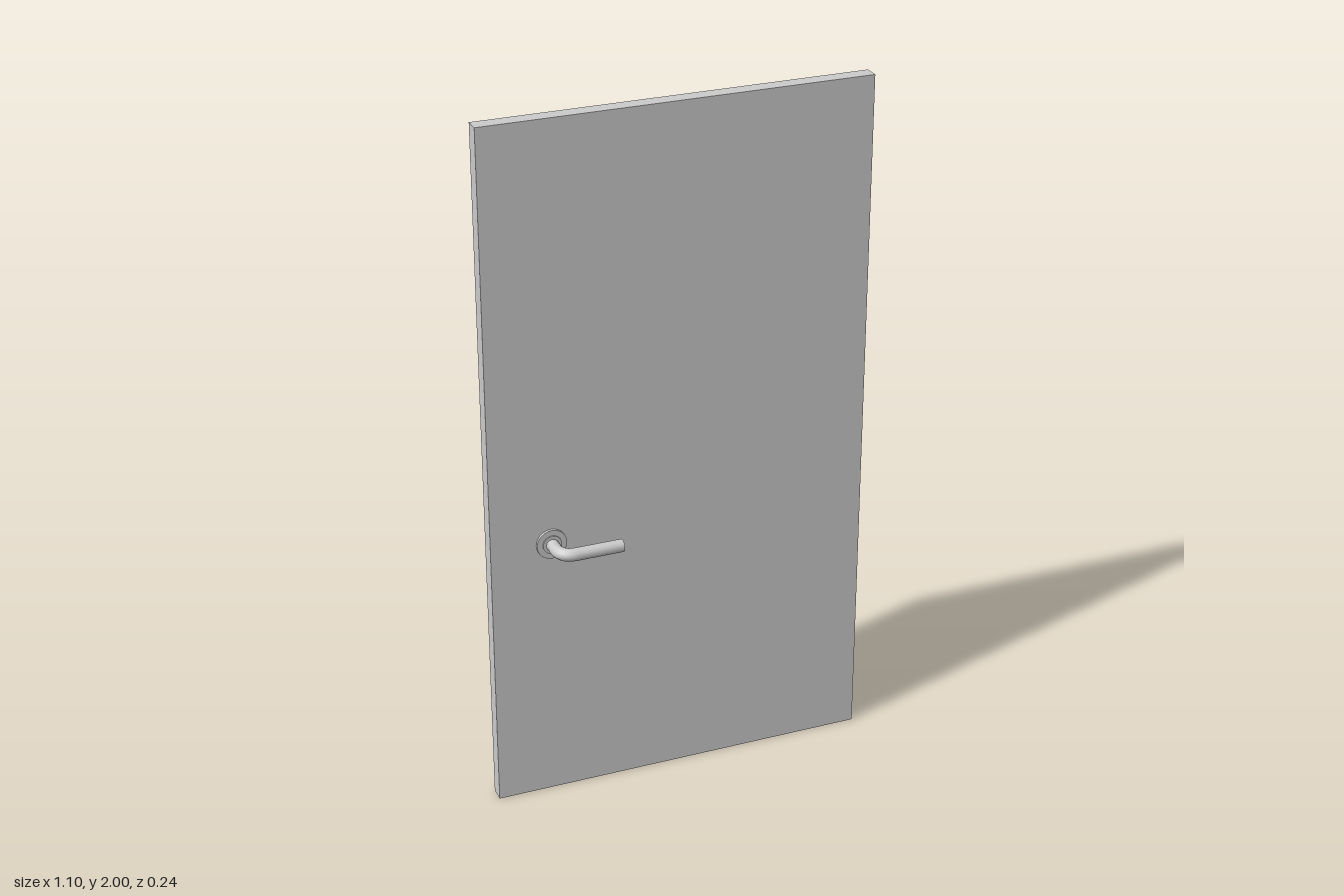
import * as THREE from 'three';

const SIDES = 12, R = 0.018, PIVOT_X = -0.377, PIVOT_Y = 0.79;
const DOOR_Z = -0.004, THICKNESS = 0.044;

export function createModel() {
  const group = new THREE.Group();
  const grey = new THREE.MeshStandardMaterial({ color: 0xcccccc });

  const add = (parent, name, geometry, x = 0, y = 0, z = 0) => {
    const mesh = new THREE.Mesh(geometry, grey);
    mesh.name = name;
    mesh.position.set(x, y, z);
    parent.add(mesh);
    return mesh;
  };

  // Flat door leaf
  add(group, 'doorLeaf', new THREE.BoxGeometry(1.1, 2, THICKNESS), 0, 1, DOOR_Z);

  // Lever handle; side is +1 for the front and -1 for the back
  const addHandle = (name, side, reach, endX, endZ) => {
    const handle = new THREE.Group();
    handle.name = name;
    handle.position.set(PIVOT_X, PIVOT_Y, 0);
    group.add(handle);
    const face = DOOR_Z + side * THICKNESS / 2;

    // Stepped round rosette against the door
    const disc = (part, radius, depth) => {
      const g = new THREE.CylinderGeometry(radius, radius, depth, 24).rotateX(Math.PI / 2);
      add(handle, part, g, 0, 0, face + side * depth / 2);
    };
    disc('rosette', 0.043, 0.008);
    disc('collar', 0.027, 0.012);

    // Stem, rounded bend and straight grip
    const v = (x, z) => new THREE.Vector3(x, 0, z);
    const bendStart = v(0, side * (reach - 0.042));
    const bendEnd = v(0.045, side * reach);
    const path = new THREE.CurvePath();
    path.add(new THREE.LineCurve3(v(0, face), bendStart));
    path.add(new THREE.QuadraticBezierCurve3(bendStart, v(0.002, side * reach), bendEnd));
    path.add(new THREE.LineCurve3(bendEnd, v(endX, endZ)));
    add(handle, 'lever', new THREE.TubeGeometry(path, 40, R, SIDES));

    // Flat end of the grip
    const cap = add(handle, 'leverEnd', new THREE.CircleGeometry(R, SIDES), endX, 0, endZ);
    cap.rotation.y = Math.atan2(endX - bendEnd.x, endZ - bendEnd.z);
  };

  addHandle('frontHandle', 1, 0.101, 0.176, 0.101);
  addHandle('backHandle', -1, 0.105, 0.18, -0.102);

  return group;
}
